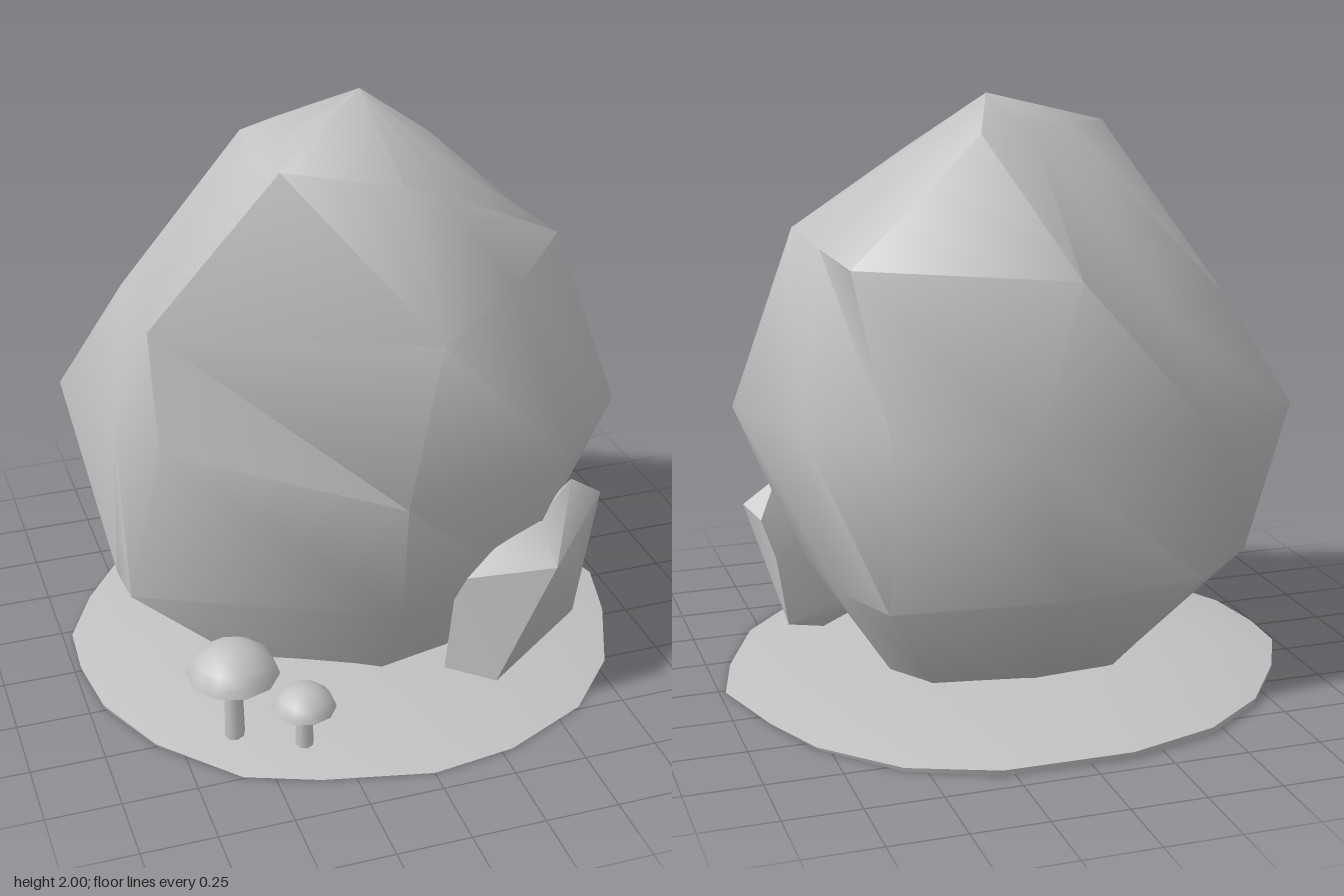
import * as THREE from 'three';
import { toCreasedNormals } from 'three/addons/utils/BufferGeometryUtils.js';
import { ConvexGeometry } from 'three/addons/geometries/ConvexGeometry.js';

// Skins rings of [x, y, z] points, listed top to bottom, closed by a top and a bottom point
function loft(top, rings, bottom, crease) {
  const n = rings[0].length;
  const positions = [top, ...rings.flat(), bottom].flat();
  const last = rings.length * n + 1;
  const index = [];
  for (let j = 0; j < n; j++) {
    const k = (j + 1) % n;
    index.push(0, 1 + j, 1 + k);
    for (let r = 0; r < rings.length - 1; r++) {
      const a = 1 + r * n, b = a + n;
      index.push(a + j, b + j, b + k, a + j, b + k, a + k);
    }
    index.push(last, last - n + k, last - n + j);
  }
  const geometry = new THREE.BufferGeometry();
  geometry.setAttribute('position', new THREE.Float32BufferAttribute(positions, 3));
  geometry.setIndex(index);
  return toCreasedNormals(geometry, crease);
}

export function createModel() {
  const model = new THREE.Group();
  const stone = new THREE.MeshStandardMaterial({ color: 0xc2c2c2 });
  stone.name = 'stone grey';

  const add = (name, geometry, parent = model) => {
    const mesh = new THREE.Mesh(geometry, stone);
    mesh.name = name;
    parent.add(mesh);
    return mesh;
  };

  // Ground: a low mound with an irregular rim and a flat underside
  const rim = [
    [0.98, -0.02], [0.89, -0.33], [0.79, -0.56], [0.57, -0.8], [0.29, -0.92],
    [-0.14, -0.93], [-0.45, -0.84], [-0.68, -0.67], [-0.86, -0.42], [-0.97, -0.2],
    [-0.98, 0], [-0.95, 0.24], [-0.83, 0.5], [-0.6, 0.75], [-0.36, 0.84],
    [0, 0.92], [0.29, 0.88], [0.59, 0.74], [0.79, 0.52], [0.92, 0.22],
  ];
  const rimRing = (scale, height) => rim.map(([x, z]) => [x * scale, height(x, z), z * scale]);
  add('ground', loft([0, 0.075, 0], [
    rimRing(0.4, (x) => 0.07 - 0.01 * x),
    rimRing(0.78, (x, z) => 0.05 - 0.008 * x - 0.01 * z),
    rimRing(1, (x, z) => Math.max(0.002, 0.01 - 0.008 * x - 0.012 * z)),
    rimRing(0.995, () => 0),
  ], [0, 0, 0], 0.6));

  // Main rock: five uneven rings, each running from the front round by +x
  const shoulder = [
    [0.05, 1.85, 0.43], [0.23, 1.77, 0.36], [0.34, 1.76, 0.1], [0.34, 1.8, -0.14], [0.17, 1.9, -0.34],
    [-0.03, 1.89, -0.25], [-0.18, 1.9, -0.18], [-0.33, 1.9, -0.09], [-0.34, 1.88, 0.1], [-0.31, 1.89, 0.29],
  ];
  const upper = [
    [0.1, 1.41, 0.66], [0.42, 1.47, 0.46], [0.66, 1.54, 0.22], [0.64, 1.52, -0.1], [0.61, 1.5, -0.39],
    [-0.03, 1.49, -0.73], [-0.4, 1.3, -0.59], [-0.7, 1.32, -0.3], [-0.64, 1.41, -0.02], [-0.74, 1.4, 0.26],
  ];
  const middle = [
    [-0.04, 0.9, 0.745], [0.57, 0.9, 0.6], [0.87, 0.92, 0.28], [0.74, 0.95, -0.24], [0.52, 0.95, -0.53],
    [0.12, 0.98, -0.76], [-0.52, 0.95, -0.66], [-0.92, 0.95, -0.37], [-0.8, 0.95, -0.07], [-0.7, 0.92, 0.18],
  ];
  const lower = [
    [0, 0.4, 0.59], [0.45, 0.4, 0.49], [0.66, 0.4, 0.22], [0.64, 0.4, -0.22], [0.53, 0.4, -0.5],
    [-0.02, 0.48, -0.77], [-0.5, 0.45, -0.62], [-0.8, 0.42, -0.3], [-0.83, 0.38, 0], [-0.81, 0.35, 0.12],
  ];
  const foot = [
    [0, 0.04, 0.38], [0.25, 0.04, 0.32], [0.42, 0.04, 0.15], [0.42, 0.04, -0.12], [0.32, 0.04, -0.28],
    [0, 0.05, -0.36], [-0.28, 0.05, -0.34], [-0.45, 0.08, -0.2], [-0.5, 0.08, 0.02], [-0.45, 0.06, 0.18],
  ];
  add('mainRock', loft([0.07, 2, -0.08], [shoulder, upper, middle, lower, foot], [0, 0.03, 0], 0.9));

  // Small rock leaning on the front
  const corners = [
    [0.84, 0.56, 0.3], [0.72, 0.64, 0.31], [0.5, 0.65, 0.54], [0.32, 0.59, 0.58],
    [0.21, 0.53, 0.63], [0.17, 0.45, 0.62], [0.15, 0.17, 0.6], [0.29, 0.165, 0.72],
    [0.49, 0.57, 0.72], [0.62, 0.48, 0.58], [0.7, 0.17, 0.42],
    [0.8, 0.53, 0.19], [0.76, 0.4, 0.14], [0.73, 0.17, 0.11], [0.55, 0.05, 0.36], [0.3, 0.09, 0.5],
  ].map((p) => new THREE.Vector3(...p));
  add('smallRock', toCreasedNormals(new ConvexGeometry(corners), 0.75));

  // Mushrooms: lathed cap on a slightly flared stem
  const capProfile = [[0, 0], [0.7, 0.03], [1, 0.17], [0.95, 0.32], [0.78, 0.58], [0.45, 0.8], [0, 0.87]];
  const mushroom = (name, x, z, radius, capY, stemRadius) => {
    const group = new THREE.Group();
    group.name = name;
    group.position.set(x, 0, z);
    const points = capProfile.map(([r, y]) => new THREE.Vector2(r * radius, capY + y * radius));
    add('cap', toCreasedNormals(new THREE.LatheGeometry(points, 10), 0.8), group);
    const height = capY - 0.01;
    const stem = new THREE.CylinderGeometry(stemRadius * 0.85, stemRadius, height, 8);
    add('stem', stem, group).position.y = 0.02 + height / 2;
    model.add(group);
  };
  mushroom('largeMushroom', -0.573, 0.555, 0.154, 0.252, 0.035);
  mushroom('smallMushroom', -0.367, 0.67, 0.107, 0.16, 0.032);

  return model;
}
